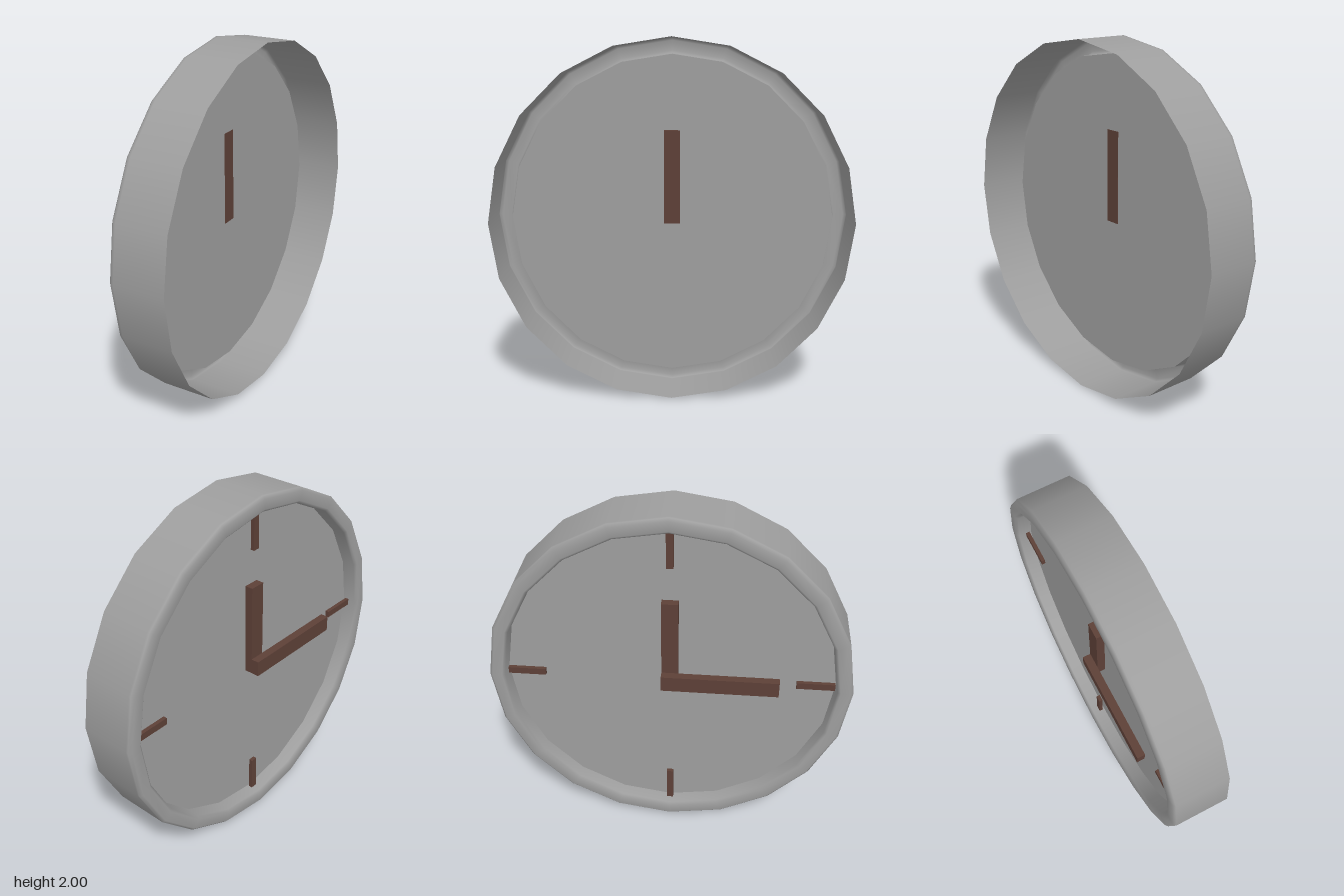
import * as THREE from 'three';

const SIDES = 20;
const FACE_X = -0.071; // plane of the dial; the clock faces -x

export function createModel() {
  const clock = new THREE.Group();
  clock.name = 'wallClock';

  const grey = new THREE.MeshStandardMaterial({ color: 0x9e9e9e, side: THREE.DoubleSide });
  const brown = new THREE.MeshStandardMaterial({ color: 0x5d4037 });

  const add = (name, geometry, material) => {
    const mesh = new THREE.Mesh(geometry, material);
    mesh.name = name;
    clock.add(mesh);
    return mesh;
  };

  // Box given by its limits along x, y (from the dial centre) and z
  const addBar = (name, [x0, x1], [y0, y1], [z0, z1]) => {
    const bar = add(name, new THREE.BoxGeometry(x1 - x0, y1 - y0, z1 - z0), brown);
    bar.position.set((x0 + x1) / 2, (y0 + y1) / 2, (z0 + z1) / 2);
  };

  // Thin open-backed case: straight wall, chamfered lip, short inner wall to the dial
  const profile = [
    [1, -0.162], [1, 0.13], [1, 0.144], [0.985, 0.158],
    [0.93, 0.158], [0.915, 0.144], [0.91, -FACE_X],
  ].map(([r, h]) => new THREE.Vector2(r, h));
  const rim = new THREE.LatheGeometry(profile, SIDES);
  rim.rotateZ(Math.PI / 2);
  add('rim', rim, grey);

  // Dial
  const dial = new THREE.CircleGeometry(0.91, SIDES);
  dial.rotateY(-Math.PI / 2);
  dial.translate(FACE_X, 0, 0);
  add('dial', dial, grey);

  // Hands: the upright one just breaks through the dial, the other lies over it
  addBar('hourHand', [-0.117, -0.069], [-0.04, 0.49], [-0.045, 0.045]);
  addBar('minuteHand', [-0.163, -0.117], [-0.04, 0.05], [-0.045, 0.6]);

  // Four hour marks
  const depth = [-0.105, -0.083];
  const width = [-0.019, 0.019];
  for (const span of [[0.695, 0.905], [-0.905, -0.695]]) {
    addBar('hourMark', depth, span, width);
    addBar('hourMark', depth, width, span);
  }

  // Stand the clock on y = 0
  clock.children.forEach((mesh) => { mesh.position.y += 1; });
  return clock;
}
